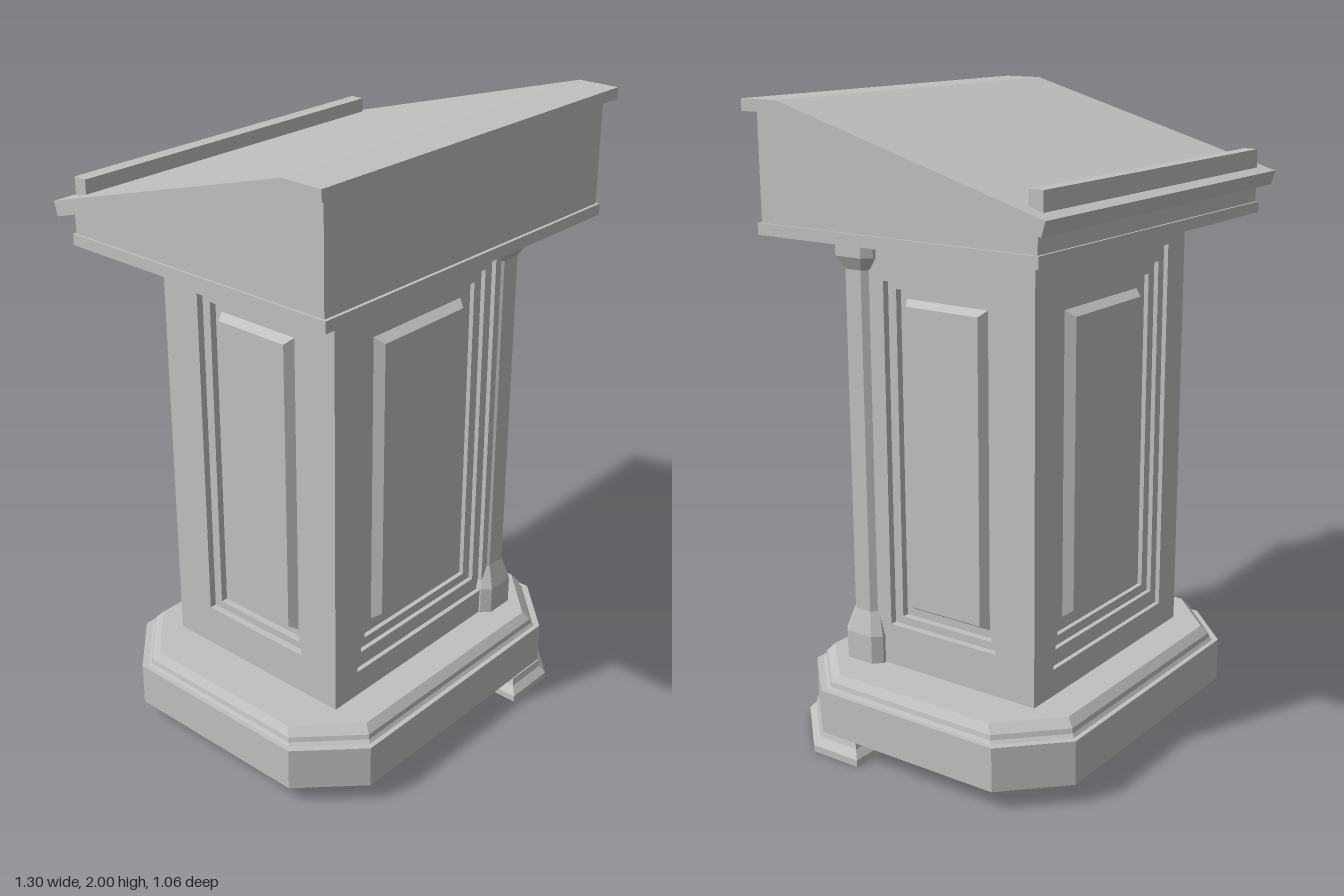
import * as THREE from 'three';

const wood = new THREE.MeshStandardMaterial({ color: 0xc0c0c0 });
wood.name = 'plain grey';

// Rectangle outline in x/z, optionally with cut corners
function rect(hw, hd, c = 0) {
  if (!c) return [[hw, -hd], [hw, hd], [-hw, hd], [-hw, -hd]];
  return [
    [hw, -hd + c], [hw, hd - c], [hw - c, hd], [-hw + c, hd],
    [-hw, hd - c], [-hw, -hd + c], [-hw + c, -hd], [hw - c, -hd],
  ];
}

// Flat-shaded loft through convex outlines stacked in y: [[y, outline], ...]
function loft(sections) {
  const pos = [];
  const v = (s, i) => {
    const p = s[1][i % s[1].length];
    pos.push(p[0], s[0], p[1]);
  };
  const n = sections[0][1].length;
  for (let k = 0; k < sections.length - 1; k++) {
    const a = sections[k], b = sections[k + 1];
    for (let i = 0; i < n; i++) {
      v(a, i); v(b, i); v(a, i + 1);
      v(a, i + 1); v(b, i); v(b, i + 1);
    }
  }
  const lo = sections[0], hi = sections[sections.length - 1];
  for (let i = 1; i < n - 1; i++) {
    v(lo, 0); v(lo, i); v(lo, i + 1);
    v(hi, 0); v(hi, i + 1); v(hi, i);
  }
  const g = new THREE.BufferGeometry();
  g.setAttribute('position', new THREE.Float32BufferAttribute(pos, 3));
  g.computeVertexNormals();
  return g;
}

function add(parent, name, geometry, x = 0, y = 0, z = 0) {
  const m = new THREE.Mesh(geometry, wood);
  m.name = name;
  m.position.set(x, y, z);
  parent.add(m);
  return m;
}

function box(parent, name, w, h, d, x, y, z) {
  return add(parent, name, new THREE.BoxGeometry(w, h, d), x, y, z);
}

// Extrude a side profile of [z, y] points across x
function acrossX(points, width) {
  const g = new THREE.ExtrudeGeometry(
    new THREE.Shape(points.map(p => new THREE.Vector2(p[0], p[1]))),
    { depth: width, bevelEnabled: false });
  g.translate(0, 0, -width / 2);
  g.rotateY(-Math.PI / 2);
  return g;
}

// Flat frame between two openings given as [half width, y0, y1]
function frame(outer, inner, depth) {
  const pts = ([w, a, b]) => [[-w, a], [w, a], [w, b], [-w, b]].map(p => new THREE.Vector2(...p));
  const s = new THREE.Shape(pts(outer));
  s.holes.push(new THREE.Path(pts(inner)));
  return new THREE.ExtrudeGeometry(s, { depth, bevelEnabled: false });
}

const FLOOR = 0.045; // depth of the panel recess

// Wall with stepped recess and raised, bevelled panel; its outer face is at z = 0
function panelWall(name, openings, field, bevel) {
  const wall = new THREE.Group();
  wall.name = name;
  const step = FLOOR / (openings.length - 1);
  for (let i = 0; i < openings.length - 1; i++) {
    const depth = FLOOR - i * step;
    add(wall, i ? 'steppedMoulding' : 'wallFrame',
      frame(openings[i], openings[i + 1], depth), 0, 0, -FLOOR);
  }
  const [w, y0, y1] = field;
  const h = (y1 - y0) / 2;
  const g = loft([[0, rect(w, h)], [0.028, rect(w - bevel, h - bevel)]]);
  g.rotateX(Math.PI / 2);
  add(wall, 'raisedPanel', g, 0, (y0 + y1) / 2, -FLOOR);
  return wall;
}

export function createModel() {
  const model = new THREE.Group();
  model.name = 'lectern';

  // Plinth with cut corners and a stepped moulding on top
  add(model, 'plinth', loft([[0.065, rect(0.61, 0.5, 0.175)], [0.205, rect(0.61, 0.5, 0.175)]]));
  add(model, 'plinthMoulding', loft([
    [0.2, rect(0.598, 0.488, 0.174)],
    [0.215, rect(0.588, 0.477, 0.172)],
    [0.23, rect(0.585, 0.474, 0.171)],
    [0.255, rect(0.568, 0.452, 0.168)],
  ]));

  // Single foot under the front left corner
  const foot = o => [
    [0.63 - o, 0.17 + o], [0.63 - o, 0.345 - o * 0.4], [0.445 - o * 0.4, 0.53 - o],
    [0.265 + o, 0.53 - o], [0.265 + o, 0.17 + o],
  ];
  add(model, 'foot', loft([
    [0, foot(0)], [0.022, foot(0)], [0.045, foot(0.02)], [0.066, foot(0.026)],
  ]));

  // Pedestal: plain core faced with four panelled walls
  const X = 0.415, Z = 0.34, Y0 = 0.25, Y1 = 1.615;
  box(model, 'pedestalCore', 2 * (X - FLOOR), Y1 - Y0, 2 * (Z - FLOOR), 0, (Y0 + Y1) / 2, 0);
  for (const s of [1, -1]) {
    const wide = panelWall(s > 0 ? 'frontWall' : 'backWall', [
      [X, Y0, Y1], [0.313, 0.34, 1.535], [0.281, 0.39, 1.485], [0.248, 0.42, 1.45],
    ], [0.2, 0.46, 1.41], 0.02);
    wide.position.z = s * Z;
    wide.rotation.y = s > 0 ? 0 : Math.PI;
    const narrow = panelWall(s > 0 ? 'leftWall' : 'rightWall', [
      [Z - FLOOR, Y0, Y1], [0.2, 0.39, 1.475], [0.17, 0.415, 1.45],
    ], [0.147, 0.44, 1.42], 0.017);
    narrow.position.x = s * X;
    narrow.rotation.y = s * Math.PI / 2;
    model.add(wide, narrow);
  }

  // Corner column with flared base and capital
  const block = rect(0.074, 0.073, 0.026), shaft = rect(0.053, 0.048, 0.02);
  add(model, 'cornerColumn', loft([
    [0.25, block], [0.345, block], [0.375, rect(0.066, 0.063, 0.024)], [0.42, shaft],
    [1.5, shaft], [1.54, block], [1.615, block],
  ]), 0.379, 0, 0.299);

  // Desk box with lower lip
  box(model, 'deskLip', 1.24, 0.035, 0.985, 0, 1.6275, 0.002);
  add(model, 'deskBox', acrossX([
    [0.484, 1.64], [0.484, 1.966], [0.382, 1.966], [-0.483, 1.707], [-0.483, 1.64],
  ], 1.226));

  // Sloping top and book rail
  add(model, 'deskTop', acrossX([
    [0.51, 1.965], [0.51, 2], [0.375, 2], [-0.53, 1.742], [-0.517, 1.698], [0.382, 1.965],
  ], 1.296));
  box(model, 'bookRail', 1.196, 0.07, 0.046, 0, 1.776, -0.467);

  return model;
}
